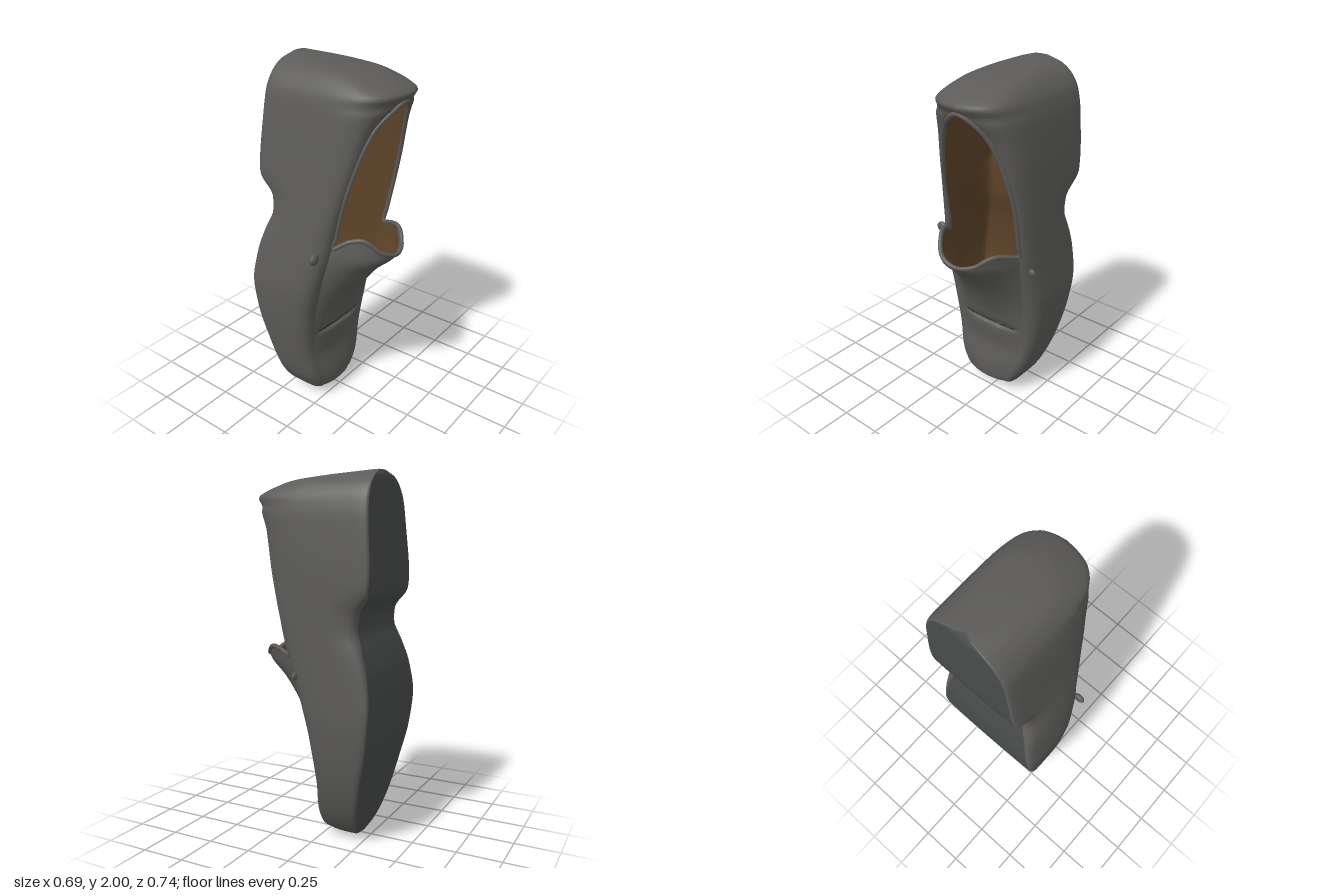
import * as THREE from 'three';

// Smooth monotone interpolation through [y, value] pairs.
function profile(pts) {
  const n = pts.length;
  const d = pts.slice(1).map((p, i) => (p[1] - pts[i][1]) / (p[0] - pts[i][0]));
  const m = pts.map((_, i) => {
    if (i === 0) return d[0];
    if (i === n - 1) return d[n - 2];
    return d[i - 1] * d[i] <= 0 ? 0 : 2 * d[i - 1] * d[i] / (d[i - 1] + d[i]);
  });
  return (y) => {
    let i = 0;
    while (i < n - 2 && y > pts[i + 1][0]) i++;
    const h = pts[i + 1][0] - pts[i][0];
    const t = Math.min(1, Math.max(0, (y - pts[i][0]) / h));
    const a = t * t * (3 - 2 * t), b = t * (1 - t) * (1 - t), c = t * t * (t - 1);
    return pts[i][1] * (1 - a) + pts[i + 1][1] * a + h * (b * m[i] + c * m[i + 1]);
  };
}

// Outline of the shoe: the toe is at y = 0, the heel at y = 2.
const xMin = profile([[0, -0.07], [0.01, -0.11], [0.04, -0.16], [0.1, -0.22], [0.2, -0.27], [0.4, -0.31], [0.6, -0.335],
  [0.75, -0.342], [0.95, -0.322], [1.1, -0.3], [1.3, -0.265], [1.5, -0.235], [1.75, -0.2], [1.85, -0.178], [1.92, -0.135], [1.97, -0.07], [2, 0.03]]);
const xMax = profile([[0, 0], [0.01, 0.05], [0.04, 0.11], [0.1, 0.165], [0.2, 0.22], [0.4, 0.285], [0.6, 0.32],
  [0.75, 0.333], [1.1, 0.333], [1.5, 0.33], [1.75, 0.32], [1.85, 0.303], [1.92, 0.265], [1.97, 0.2], [2, 0.11]]);
const soleZ = profile([[0, -0.185], [0.03, -0.2], [0.2, -0.25], [0.4, -0.3], [0.6, -0.345], [0.8, -0.365], [0.95, -0.35],
  [1.1, -0.31], [1.2, -0.28], [1.28, -0.29], [1.38, -0.355], [1.5, -0.365], [1.7, -0.355], [1.9, -0.345], [1.97, -0.338], [2, -0.325]]);
const rimZ = profile([[0, -0.15], [0.03, -0.075], [0.08, 0], [0.15, 0.006], [0.35, -0.014], [0.6, 0.008], [0.8, 0.05],
  [1, 0.1], [1.15, 0.13], [1.3, 0.16], [1.5, 0.21], [1.7, 0.27], [1.83, 0.345], [1.87, 0.37], [1.9, 0.325], [1.93, 0.25], [1.955, 0.17], [1.975, 0], [2, -0.29]]);
// Inner edges of the two sides, closing behind the heel.
const rimL = profile([[0, -0.05], [0.04, -0.12], [0.1, -0.16], [0.4, -0.22], [0.8, -0.24], [1, -0.23], [1.13, -0.2],
  [1.3, -0.19], [1.5, -0.155], [1.7, -0.085], [1.79, -0.01], [1.83, 0.08], [2, 0.08]]);
const rimR = profile([[0, -0.02], [0.04, 0.07], [0.1, 0.1], [0.4, 0.2], [0.8, 0.25], [1, 0.27], [1.13, 0.28],
  [1.3, 0.285], [1.5, 0.265], [1.7, 0.21], [1.79, 0.155], [1.83, 0.08], [2, 0.08]]);
// Height of the vamp above the rims, with the crease near the toe.
const arch = profile([[0, 0], [0.03, 0.014], [0.08, 0.022], [0.3, 0.016], [0.44, 0.03], [0.47, 0.026], [0.485, 0], [0.5, 0.02],
  [0.6, 0.046], [0.75, 0.095], [0.9, 0.175], [1.01, 0.255], [1.15, 0.255]]);
// Narrowing of the sole edge at the waist.
const waist = profile([[0.8, 0], [1.05, 0.14], [1.2, 0.3], [1.28, 0.28], [1.4, 0]]);

const lerp = THREE.MathUtils.lerp;
const centre = (y) => (xMin(y) + xMax(y)) / 2;

// Grid surface from f(u, v) with u, v in 0..1.
function surface(name, f, nu, nv, color) {
  const pos = [], index = [];
  for (let j = 0; j <= nv; j++)
    for (let i = 0; i <= nu; i++) pos.push(...f(i / nu, j / nv));
  for (let j = 0; j < nv; j++)
    for (let i = 0; i < nu; i++) {
      const a = j * (nu + 1) + i, b = a + nu + 1;
      index.push(a, b, a + 1, a + 1, b, b + 1);
    }
  const g = new THREE.BufferGeometry();
  g.setAttribute('position', new THREE.Float32BufferAttribute(pos, 3));
  g.setIndex(index);
  g.computeVertexNormals();
  return namedMesh(name, g, color);
}

function namedMesh(name, geometry, color) {
  const mesh = new THREE.Mesh(geometry, new THREE.MeshStandardMaterial({ color, side: THREE.DoubleSide }));
  mesh.name = name;
  return mesh;
}

// Rows gather at the toe and heel.
const rowY = (v) => 1 - Math.cos(Math.PI * v);

// Side wall section at height y, u from the rim (0) to the sole (1).
const wallShape = [[0, 1], [0.3, 0.985], [0.62, 0.94], [0.88, 0.83], [0.98, 0.66], [1, 0.45], [1, 0.22], [0.99, 0.07], [0.95, 0.015], [0.88, 0]];
const wallCurve = new THREE.CatmullRomCurve3(wallShape.map(([a, b]) => new THREE.Vector3(a, b, 0)));
function wall(side, u, y) {
  const p = wallCurve.getPoint(u), edge = side < 0 ? xMin(y) : xMax(y), rim = side < 0 ? rimL(y) : rimR(y);
  // Near the sole the section is measured from the centre line instead.
  const start = u > 0.6 ? lerp(edge, centre(y), 0.6) : rim;
  const pinch = waist(y) * Math.max(0, (u - 0.6) / 0.4);
  return [lerp(start, edge, p.x - pinch), y, lerp(soleZ(y), rimZ(y), p.y)];
}

// The end rows shrink to a point to close the toe and heel.
function closeEnds([x, y, z], v) {
  return v === 0 || v === 1 ? [centre(y), y, (soleZ(y) + rimZ(y)) / 2] : [x, y, z];
}

// Throat edge of the vamp: raised at the corners, dipped in the middle.
const throat = profile([[0, 1.07], [0.1, 1.13], [0.3, 1.05], [0.55, 1.01], [0.72, 1.025], [0.88, 1.08], [1, 1.05]]);
function vampPoint(s, t, drop = 0) {
  const y = throat(s) * t, k = 2 * s - 1;
  return [lerp(rimL(y), rimR(y), s), y, rimZ(y) + arch(y) * (1 - Math.abs(k) ** 2.4) - drop];
}

export function createModel() {
  const shoe = new THREE.Group();
  shoe.name = 'shoe';
  const leather = 0x5c5b59, soleColor = 0x474a4a, liningColor = 0x5c4228;

  // Sides, running from the toe round the heel
  for (const side of [-1, 1]) {
    const f = (u, v) => closeEnds(wall(side, side < 0 ? u : 1 - u, rowY(v)), v);
    shoe.add(surface(side < 0 ? 'rightSide' : 'leftSide', f, 28, 120, leather));
  }

  // Sole with its arched waist and heel step
  shoe.add(surface('sole', (u, v) => {
    const y = rowY(v), a = wall(-1, 1, y), b = wall(1, 1, y);
    return closeEnds([lerp(a[0], b[0], u), y, soleZ(y) - 0.004 * Math.sin(Math.PI * u)], v);
  }, 12, 120, soleColor));

  // Vamp over the toes, lifted at the throat, and its lining
  shoe.add(surface('vamp', (u, v) => vampPoint(1 - u, v), 36, 100, leather));
  shoe.add(surface('vampLining', (u, v) => vampPoint(u, lerp(0.5, 1, v), 0.02), 36, 50, liningColor));

  // Lining of the foot space: thin at the walls, with an insole raised over the heel block
  const inset = profile([[0.5, 0.2], [0.9, 0.13], [1.7, 0.14], [1.82, 0.22], [1.87, 0.45], [1.9, 1]]);
  const insoleZ = profile([[0.5, -0.25], [0.8, -0.3], [1, -0.285], [1.2, -0.245], [1.4, -0.25], [1.7, -0.26], [1.9, -0.24]]);
  shoe.add(surface('lining', (u, v) => {
    const y = lerp(0.5, 1.9, v), side = u < 0.5 ? 1 : -1, w = Math.abs(1 - 2 * u);
    // w is 1 at the rims and 0 under the foot
    const p = w > 0.25 ? wall(side, (1 - w) / 0.75, y) : wall(side, 1, y);
    if (w <= 0.25) p[0] = lerp(centre(y), p[0], w / 0.25);
    const k = inset(y) * Math.max(y > 1.83 ? 1 : 0.05, Math.min(1, (1 - w) * 4));
    const top = rimZ(y), height = (p[2] - soleZ(y)) / (top - soleZ(y));
    return [lerp(p[0], centre(y), k), y, lerp(insoleZ(y), top - (y > 1.83 ? k * 0.3 : 0), height)];
  }, 64, 70, liningColor));

  // Rolled edge round the opening
  const edge = [], ys = [1.13, 1.22, 1.35, 1.5, 1.62, 1.72, 1.79];
  for (const y of ys) edge.push(new THREE.Vector3(rimL(y), y, rimZ(y)));
  edge.push(new THREE.Vector3(0.075, 1.835, 0.347));
  for (const y of ys.slice().reverse()) edge.push(new THREE.Vector3(rimR(y), y, rimZ(y)));
  for (let i = 0; i <= 16; i++) edge.push(new THREE.Vector3(...vampPoint(1 - i / 16, 1)));
  shoe.add(namedMesh('collarEdge', new THREE.TubeGeometry(new THREE.CatmullRomCurve3(edge, true), 180, 0.012, 8, true), leather));

  // Crease across the vamp
  const crease = new THREE.CatmullRomCurve3([[-0.19, 0.49, -0.006], [-0.1, 0.482, -0.002], [0.05, 0.478, -0.002], [0.17, 0.485, -0.006]]
    .map((p) => new THREE.Vector3(...p)));
  shoe.add(namedMesh('toeCrease', new THREE.TubeGeometry(crease, 24, 0.007, 6), 0x2a2a2a));

  // Small rounded tabs where the sides meet the throat
  for (const [name, x, y, z, size] of [['rightTab', -0.31, 1.03, 0.07, 0.035], ['leftTab', 0.318, 0.945, 0.055, 0.024]]) {
    const tab = namedMesh(name, new THREE.SphereGeometry(size, 14, 10), leather);
    tab.position.set(x, y, z);
    tab.scale.set(1, 0.9, 0.5);
    shoe.add(tab);
  }
  return shoe;
}
